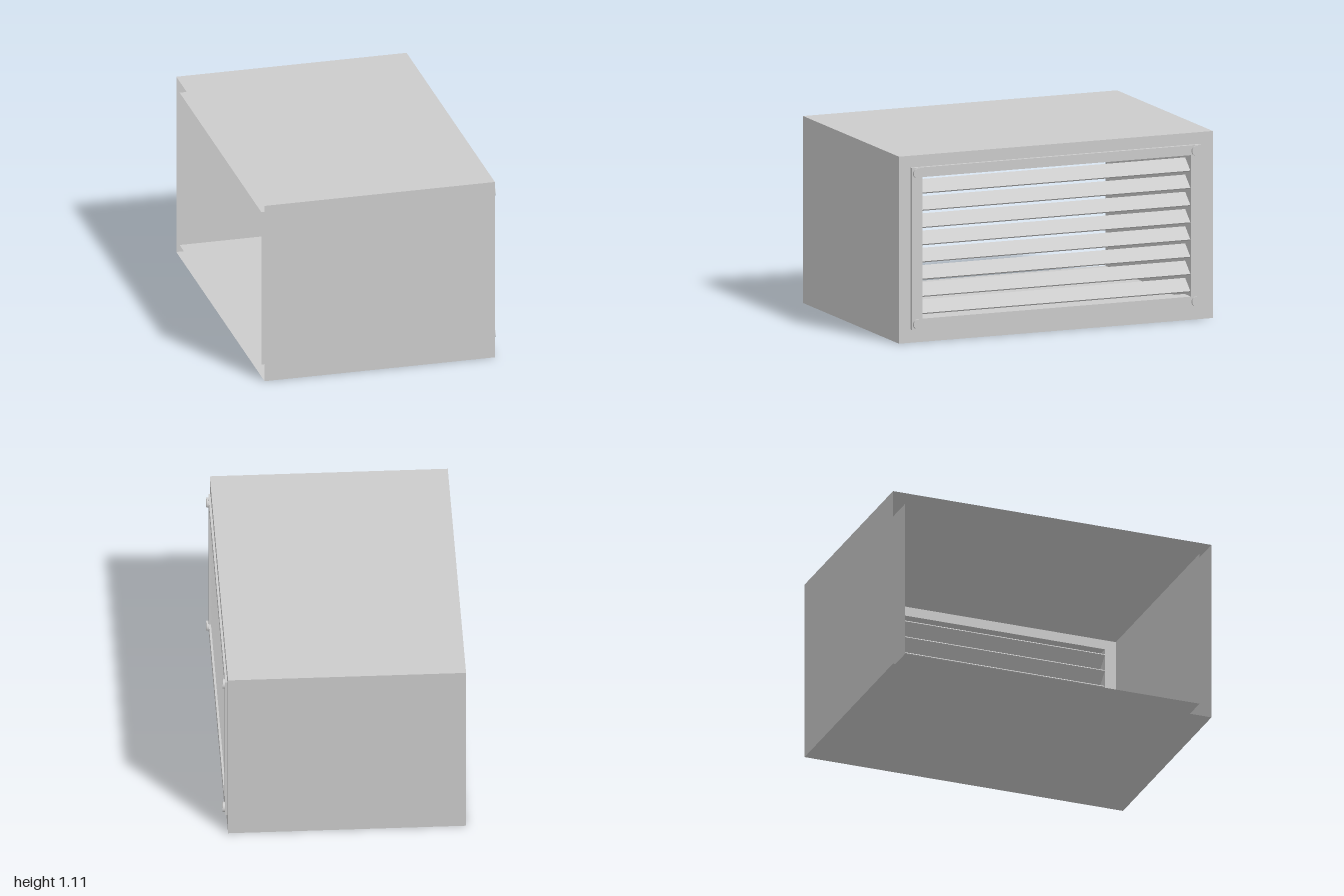
import * as THREE from 'three';

const X0 = -0.71, X1 = 0.68; // open end and grille end of the housing
const H = 1.11;

const solid = new THREE.MeshStandardMaterial({ color: 0xcccccc });
const sheet = new THREE.MeshStandardMaterial({ color: 0xcccccc, side: THREE.DoubleSide });

function add(parent, name, geometry, material = solid) {
  const mesh = new THREE.Mesh(geometry, material);
  mesh.name = name;
  parent.add(mesh);
  return mesh;
}

// Rectangular ring in the z-y plane, facing +x
function ring(halfZ, y0, y1, holeZ, holeY0, holeY1) {
  const rect = (C, h, a, b) => new C([[-h, a], [h, a], [h, b], [-h, b]].map(p => new THREE.Vector2(...p)));
  const shape = rect(THREE.Shape, halfZ, y0, y1);
  shape.holes.push(rect(THREE.Path, holeZ, holeY0, holeY1));
  return shape;
}

// Four thin walls around the x axis, open at both ends
function sleeve(name, halfZ, y0, y1) {
  const group = new THREE.Group();
  group.name = name;
  const length = X1 - X0, cx = (X0 + X1) / 2, cy = (y0 + y1) / 2;
  for (const s of [-1, 1]) {
    const side = add(group, 'sideWall', new THREE.PlaneGeometry(length, y1 - y0), sheet);
    side.position.set(cx, cy, s * halfZ);
    side.rotation.y = s > 0 ? 0 : Math.PI;
    const flat = add(group, s > 0 ? 'topWall' : 'bottomWall', new THREE.PlaneGeometry(length, 2 * halfZ), sheet);
    flat.position.set(cx, s > 0 ? y1 : y0, 0);
    flat.rotation.x = -s * Math.PI / 2;
  }
  return group;
}

export function createModel() {
  const model = new THREE.Group();
  model.name = 'ventHousing';

  // Double-walled housing, open at the rear end
  model.add(sleeve('outerShell', 1, 0, H));
  model.add(sleeve('innerDuct', 0.925, 0.075, 1.04));
  const plate = add(model, 'facePlate',
    new THREE.ShapeGeometry(ring(1, 0, H, 0.925, 0.075, 1.04)), sheet);
  plate.rotation.y = Math.PI / 2;
  plate.position.x = X1;

  // Grille frame, standing slightly proud of the face
  const grille = new THREE.Group();
  grille.name = 'grille';
  model.add(grille);
  const frame = add(grille, 'grilleFrame', new THREE.ExtrudeGeometry(
    ring(0.923, 0.077, 1.038, 0.855, 0.14, 0.98), { depth: 0.093, bevelEnabled: false }));
  frame.rotation.y = Math.PI / 2;
  frame.position.x = 0.6;

  // Louvre slats sloping down towards the outside
  const slatGeometry = new THREE.BoxGeometry(0.1, 0.01, 1.71);
  for (let i = 0; i < 8; i++) {
    const slat = add(grille, 'louvreSlat', slatGeometry);
    slat.position.set(0.642, 0.2 + i * 0.1022, 0);
    slat.rotation.z = -0.72;
  }

  // Corner bolts
  const boltGeometry = new THREE.CylinderGeometry(0.03, 0.03, 0.016, 24);
  for (const z of [-0.887, 0.887]) {
    for (const y of [0.11, 1.005]) {
      const bolt = add(grille, 'cornerBolt', boltGeometry);
      bolt.rotation.z = -Math.PI / 2;
      bolt.position.set(0.699, y, z);
    }
  }
  return model;
}
